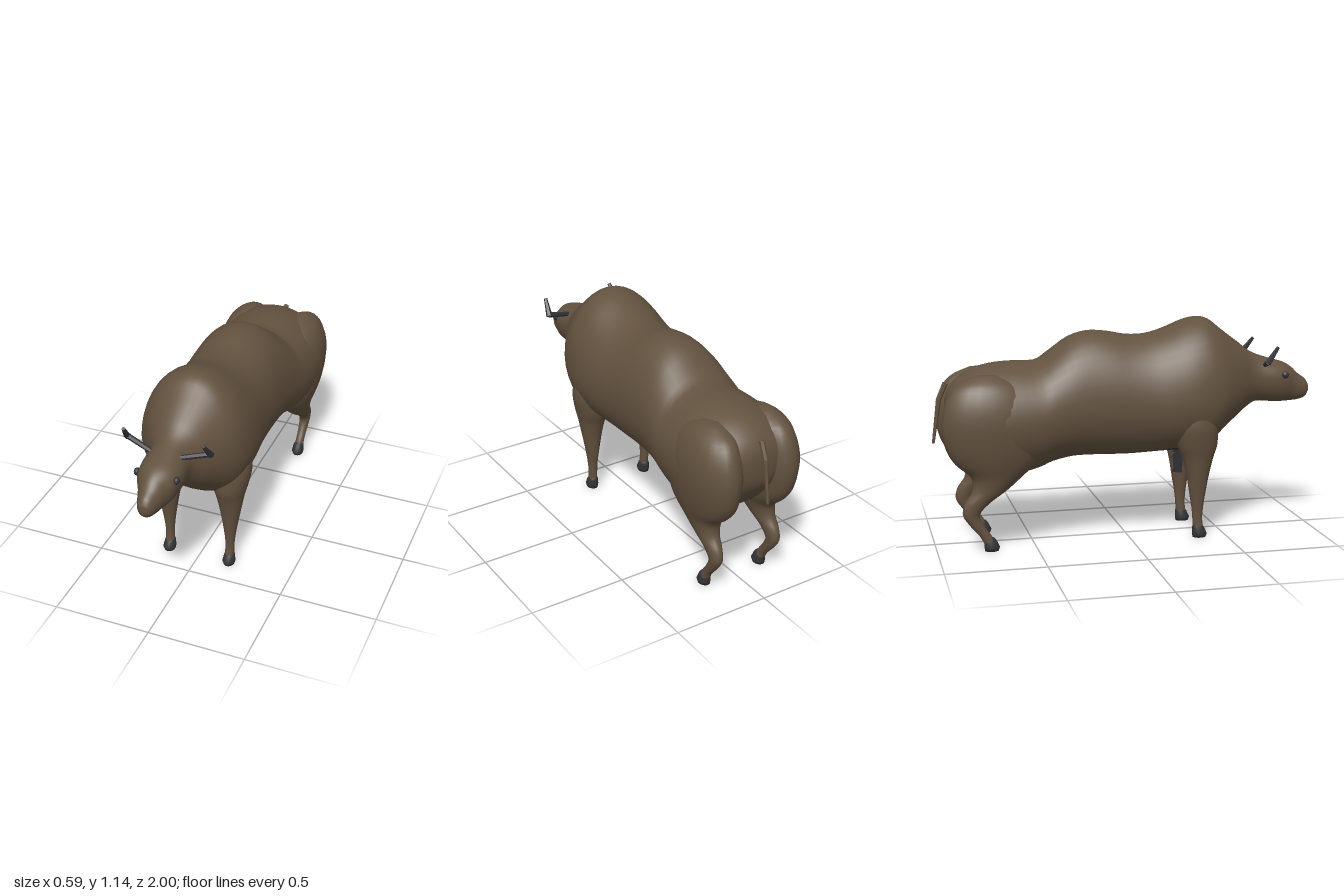
import * as THREE from 'three';

const hide = new THREE.MeshStandardMaterial({ color: 0x63523f });
hide.name = 'brownHide';
const charcoal = new THREE.MeshStandardMaterial({ color: 0x333437 });
charcoal.name = 'charcoal';
const noseGrey = new THREE.MeshStandardMaterial({ color: 0x4b4a49 });
noseGrey.name = 'noseGrey';

// Smoothly interpolates rows of section numbers, n steps per gap
function refine(rows, n) {
  const out = [];
  const at = (i) => rows[Math.min(Math.max(i, 0), rows.length - 1)];
  for (let i = 0; i < rows.length - 1; i++) {
    for (let k = 0; k < n; k++) {
      const t = k / n;
      out.push(rows[i].map((b, c) => {
        const a = at(i - 1)[c], d = at(i + 1)[c], e = at(i + 2)[c];
        return b + 0.5 * t * (d - a + t * (2 * a - 5 * b + 4 * d - e + t * (3 * (b - d) + e - a)));
      }));
    }
  }
  out.push(rows[rows.length - 1]);
  return out;
}

// Skins a list of rings; triangles whose centre passes isDark form a second material group
function loft(rings, isDark = () => false) {
  const n = rings[0].length, pts = rings.flat();
  const centre = (ring) => ring.reduce((s, p) => s.add(p), new THREE.Vector3()).divideScalar(n);
  const first = pts.push(centre(rings[0])) - 1;
  const last = pts.push(centre(rings[rings.length - 1])) - 1;
  const lists = [[], []];
  const tri = (a, b, c) => {
    const mid = pts[a].clone().add(pts[b]).add(pts[c]).divideScalar(3);
    lists[isDark(mid) ? 1 : 0].push(a, b, c);
  };
  const end = (rings.length - 1) * n;
  for (let j = 0; j < n; j++) {
    const k = (j + 1) % n;
    for (let o = 0; o < end; o += n) {
      tri(o + j, o + n + j, o + k);
      tri(o + k, o + n + j, o + n + k);
    }
    tri(first, j, k);
    tri(last, end + k, end + j);
  }
  const geo = new THREE.BufferGeometry().setFromPoints(pts);
  geo.setIndex([...lists[0], ...lists[1]]);
  geo.addGroup(0, lists[0].length, 0);
  geo.addGroup(lists[0].length, lists[1].length, 1);
  geo.computeVertexNormals();
  return geo;
}

const ringOf = (n, fn) => Array.from({ length: n }, (_, j) => fn((j / n) * Math.PI * 2));

// Limb from rows [y, x, z, radiusX, radiusZ], running downwards
function limb(rows, side, steps, isDark) {
  const rings = refine(rows, steps).map(([y, x, z, rx, rz]) =>
    ringOf(20, (a) => new THREE.Vector3(side * x + Math.cos(a) * rx, y, z - Math.sin(a) * rz)));
  return loft(rings, isDark);
}

// Tapered stick between two points
function stick(a, b, ra, rb, sides, material) {
  const from = new THREE.Vector3(...a), to = new THREE.Vector3(...b);
  const dir = to.clone().sub(from);
  const geo = new THREE.CylinderGeometry(rb, ra, dir.length(), sides).toNonIndexed();
  geo.computeVertexNormals();
  const mesh = new THREE.Mesh(geo, material);
  mesh.position.copy(from).add(to).multiplyScalar(0.5);
  mesh.quaternion.setFromUnitVectors(new THREE.Vector3(0, 1, 0), dir.normalize());
  return mesh;
}

// [z, top, bottom, half width, height of widest point], nose to rump
const BODY = [
  [1.0, 0.76, 0.72, 0.02, 0.74], [0.982, 0.79, 0.69, 0.038, 0.74],
  [0.94, 0.82, 0.677, 0.055, 0.75], [0.9, 0.858, 0.674, 0.07, 0.77],
  [0.85, 0.885, 0.672, 0.096, 0.8], [0.78, 0.905, 0.675, 0.107, 0.81],
  [0.7, 0.932, 0.68, 0.107, 0.81], [0.65, 0.96, 0.655, 0.127, 0.8],
  [0.6, 1.0, 0.62, 0.165, 0.79], [0.5, 1.075, 0.54, 0.235, 0.77],
  [0.44, 1.122, 0.485, 0.262, 0.75], [0.38, 1.137, 0.452, 0.275, 0.74],
  [0.3, 1.12, 0.445, 0.281, 0.73], [0.2, 1.08, 0.443, 0.275, 0.72],
  [0.1, 1.055, 0.438, 0.262, 0.72], [0.0, 1.056, 0.435, 0.256, 0.72],
  [-0.1, 1.075, 0.437, 0.255, 0.72], [-0.2, 1.08, 0.44, 0.256, 0.71],
  [-0.3, 1.05, 0.438, 0.262, 0.7], [-0.4, 0.98, 0.418, 0.272, 0.68],
  [-0.47, 0.937, 0.39, 0.28, 0.66], [-0.6, 0.936, 0.36, 0.29, 0.65],
  [-0.7, 0.927, 0.375, 0.29, 0.65], [-0.8, 0.9, 0.44, 0.265, 0.66],
  [-0.88, 0.845, 0.53, 0.21, 0.68], [-0.92, 0.785, 0.6, 0.12, 0.69],
  [-0.93, 0.73, 0.66, 0.04, 0.69],
];

const FRONT_LEG = [
  [0.72, 0.15, 0.32, 0.1, 0.1], [0.6, 0.165, 0.33, 0.106, 0.115],
  [0.5, 0.168, 0.34, 0.088, 0.108], [0.43, 0.169, 0.345, 0.07, 0.083],
  [0.35, 0.17, 0.346, 0.055, 0.062], [0.25, 0.169, 0.345, 0.038, 0.045],
  [0.16, 0.168, 0.346, 0.026, 0.031], [0.1, 0.167, 0.347, 0.023, 0.026],
  [0.05, 0.167, 0.352, 0.024, 0.027],
];

const HIND_LEG = [
  [0.89, 0.15, -0.74, 0.03, 0.05], [0.84, 0.155, -0.73, 0.09, 0.165],
  [0.75, 0.162, -0.72, 0.122, 0.228], [0.64, 0.165, -0.71, 0.13, 0.256],
  [0.53, 0.163, -0.7, 0.119, 0.246], [0.45, 0.161, -0.695, 0.102, 0.205],
  [0.38, 0.162, -0.695, 0.077, 0.13], [0.31, 0.166, -0.735, 0.054, 0.088],
  [0.25, 0.17, -0.797, 0.039, 0.064], [0.19, 0.171, -0.828, 0.03, 0.042],
  [0.13, 0.17, -0.798, 0.025, 0.034], [0.08, 0.169, -0.76, 0.023, 0.03],
  [0.04, 0.168, -0.74, 0.025, 0.028],
];

export function createModel() {
  const model = new THREE.Group();
  const add = (name, mesh) => { mesh.name = name; model.add(mesh); return mesh; };
  const skins = [hide, charcoal];

  // Head, neck and trunk in one skin, with a dark patch between the forelegs
  const bodyRings = refine(BODY, 3).map(([z, top, bottom, w, mid]) =>
    ringOf(40, (a) => {
      const c = Math.cos(a), s = Math.sin(a);
      const x = s < 0 ? Math.sign(c) * Math.abs(c) ** 0.85 : c;
      return new THREE.Vector3(x * w, mid + s * (s > 0 ? top - mid : mid - bottom), z);
    }));
  add('body', new THREE.Mesh(loft(bodyRings, (p) =>
    p.y < 0.51 && p.z > 0.2 && p.z < 0.46 && Math.abs(p.x) < 0.14), skins));

  // Nose
  const nose = add('nose', new THREE.Mesh(new THREE.BoxGeometry(0.034, 0.026, 0.008), noseGrey));
  nose.position.set(0, 0.741, 0.996);

  for (const s of [1, -1]) {
    const side = s > 0 ? 'left' : 'right';

    // Legs; the dark patch runs down the inside of the forelegs
    add(side + 'FrontLeg', new THREE.Mesh(limb(FRONT_LEG, s, 4, (p) =>
      p.y > 0.27 && p.y < 0.5 && p.z < 0.345 && s * p.x < 0.1 + (0.5 - p.y) * 0.24), skins));
    add(side + 'HindLeg', new THREE.Mesh(limb(HIND_LEG, s, 4), skins));

    // Hooves
    for (const [name, z] of [['FrontHoof', 0.352], ['HindHoof', -0.735]]) {
      add(side + name, new THREE.Mesh(limb([
        [0.066, 0.167, z - 0.004, 0.02, 0.024], [0.05, 0.167, z, 0.028, 0.032],
        [0.018, 0.167, z + 0.008, 0.033, 0.039], [0, 0.167, z + 0.006, 0.028, 0.035],
      ], s, 1), skins.slice().reverse()));
    }

    // Eyes
    const eye = add(side + 'Eye', new THREE.Mesh(new THREE.SphereGeometry(0.019, 14, 10), charcoal));
    eye.position.set(s * 0.1, 0.826, 0.84);
    eye.scale.x = 0.75;

    // Horns, out sideways and then up and forward
    const horn = new THREE.Group();
    horn.add(stick([s * 0.07, 0.877, 0.735], [s * 0.215, 0.915, 0.703], 0.012, 0.014, 6, charcoal));
    horn.add(stick([s * 0.212, 0.908, 0.7], [s * 0.2, 0.988, 0.76], 0.017, 0.009, 6, charcoal));
    add(side + 'Horn', horn);
  }

  // Tail
  const tail = new THREE.Group();
  tail.add(stick([0, 0.835, -0.925], [0, 0.75, -0.962], 0.014, 0.013, 6, hide));
  tail.add(stick([0, 0.755, -0.96], [0, 0.53, -0.993], 0.013, 0.007, 6, hide));
  add('tail', tail);

  return model;
}
